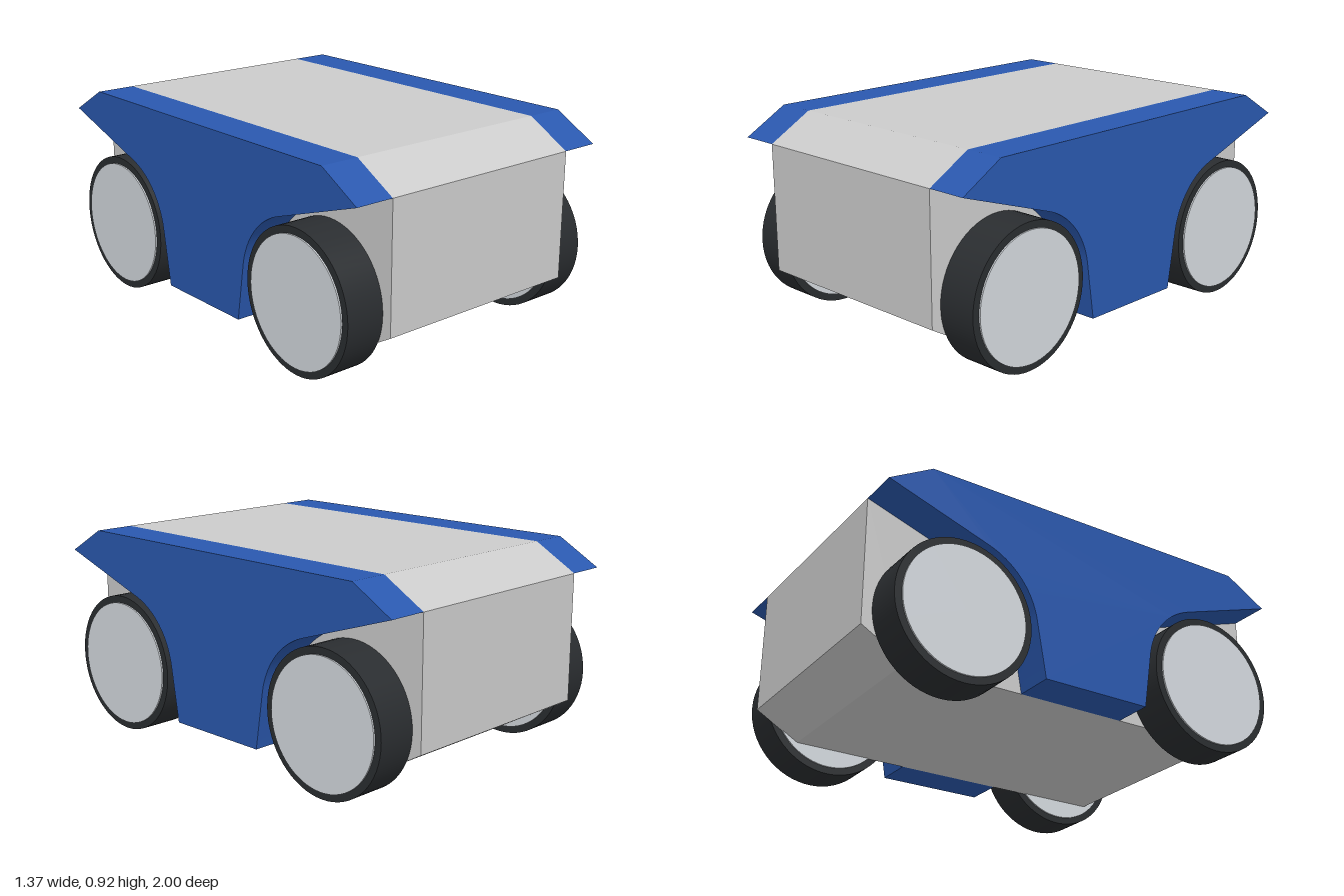
import * as THREE from 'three';
import { toCreasedNormals } from 'three/addons/utils/BufferGeometryUtils.js';

const WHEEL_Z = 0.64, WHEEL_Y = 0.315, WHEEL_R = 0.315;

export function createModel() {
  const model = new THREE.Group();
  model.name = 'vehicle';

  const grey = new THREE.MeshStandardMaterial({ color: 0xcccccc });
  const blue = new THREE.MeshStandardMaterial({ color: 0x2a58ae });
  const black = new THREE.MeshStandardMaterial({ color: 0x2a2d30 });
  const silver = new THREE.MeshStandardMaterial({ color: 0xd4d9de });

  function add(name, geometry, material, x = 0, y = 0, z = 0) {
    const mesh = new THREE.Mesh(geometry, material);
    mesh.name = name;
    mesh.position.set(x, y, z);
    model.add(mesh);
  }

  // Mirror a half side profile (z, y) and extrude it across x, centred
  function sideProfile(half, width) {
    const mirrored = half.map(([z, y]) => [-z, y]).reverse();
    const shape = new THREE.Shape([...half, ...mirrored].map(([z, y]) => new THREE.Vector2(z, y)));
    const geometry = new THREE.ExtrudeGeometry(shape, { depth: width, bevelEnabled: false });
    geometry.translate(0, 0, -width / 2).rotateY(Math.PI / 2);
    return toCreasedNormals(geometry, 0.35);
  }

  // Body with chamfered upper and lower ends
  add('body', sideProfile([[0.8, 0.115], [1, 0.23], [1, 0.8], [0.8, 0.915]], 1), grey);

  // Side panels, with an arch running around each wheel
  const panel = [[0.255, 0.115]];
  for (let i = 0; i <= 16; i++) {
    const a = THREE.MathUtils.degToRad(169 - (60.5 * i) / 16);
    panel.push([WHEEL_Z + 0.348 * Math.cos(a), WHEEL_Y + 0.348 * Math.sin(a)]);
  }
  panel.push([1, 0.8], [0.8, 0.915]);
  const panelGeometry = sideProfile(panel, 0.18);

  // Wheels: wide tyre with a slightly thicker hub disc
  const disc = (r, w) => new THREE.CylinderGeometry(r, r, w, 64).rotateZ(Math.PI / 2);
  const tyreGeometry = disc(WHEEL_R, 0.18);
  const hubGeometry = disc(0.283, 0.194);

  for (const [sx, side] of [[1, 'left'], [-1, 'right']]) {
    add(side + 'SidePanel', panelGeometry, blue, sx * 0.59);
    for (const [sz, end] of [[1, 'Front'], [-1, 'Rear']]) {
      add(side + end + 'Tyre', tyreGeometry, black, sx * 0.59, WHEEL_Y, sz * WHEEL_Z);
      add(side + end + 'Hub', hubGeometry, silver, sx * 0.59, WHEEL_Y, sz * WHEEL_Z);
    }
  }
  return model;
}
